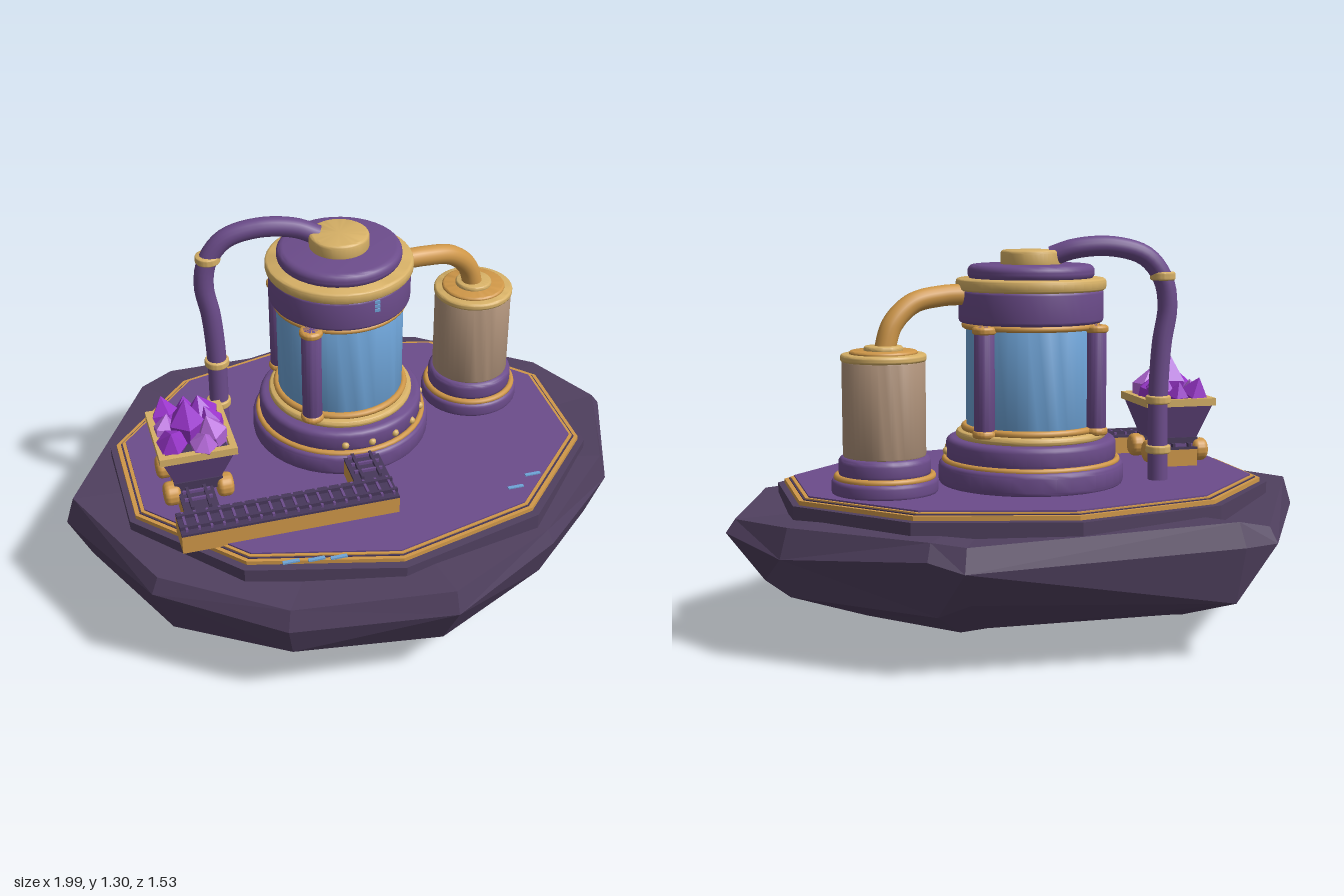
import * as THREE from 'three';
import { toCreasedNormals } from 'three/addons/utils/BufferGeometryUtils.js';

const mat = (name, color) => {
  const m = new THREE.MeshStandardMaterial({ color });
  m.name = name;
  return m;
};

export function createModel() {
  const purple = mat('purple metal', 0x6c4c8b);
  const rock = mat('dark rock', 0x50405f);
  rock.flatShading = true;
  const gold = mat('pale gold', 0xd6b066);
  const bronze = mat('orange bronze', 0xcf9748);
  const blue = mat('blue glass', 0x6ea4d8);
  const tan = mat('tan drum', 0xb0937b);
  const dark = mat('dark track', 0x47385a);
  const violet = mat('violet crystal', 0x9a35cc);
  const lilac = mat('lilac crystal', 0xb468d8);

  const root = new THREE.Group();
  root.name = 'floatingIslandRefinery';
  const group = (name, x = 0, y = 0, z = 0) => {
    const g = new THREE.Group();
    g.name = name;
    g.position.set(x, y, z);
    root.add(g);
    return g;
  };
  const add = (parent, name, geo, material, x = 0, y = 0, z = 0) => {
    const m = new THREE.Mesh(geo, material);
    m.name = name;
    m.position.set(x, y, z);
    parent.add(m);
    return m;
  };
  const box = (parent, name, m, x0, x1, y0, y1, z0, z1) =>
    add(parent, name, new THREE.BoxGeometry(x1 - x0, y1 - y0, z1 - z0), m,
      (x0 + x1) / 2, (y0 + y1) / 2, (z0 + z1) / 2);
  // Round drum with softened top and bottom edges
  const drum = (parent, name, m, r, y0, y1, b = 0.008) => {
    const pts = [[0, y0], [r - b, y0]];
    for (let i = 1; i < 4; i++) {
      const a = (i * Math.PI) / 8;
      pts.push([r - b + b * Math.sin(a), y0 + b - b * Math.cos(a)]);
    }
    pts.push([r, y0 + b], [r, y1 - b]);
    for (let i = 1; i < 4; i++) {
      const a = (i * Math.PI) / 8;
      pts.push([r - b + b * Math.cos(a), y1 - b + b * Math.sin(a)]);
    }
    pts.push([r - b, y1], [0, y1]);
    const geo = new THREE.LatheGeometry(pts.map(p => new THREE.Vector2(...p)), 40);
    return add(parent, name, toCreasedNormals(geo, 0.6), m);
  };
  const ring = (parent, name, m, r, t, y) => {
    const geo = new THREE.TorusGeometry(r, t, 10, 48);
    return add(parent, name, geo.rotateX(Math.PI / 2), m, 0, y, 0);
  };
  const pipe = (parent, name, m, pts, r) => {
    const curve = new THREE.CatmullRomCurve3(pts.map(p => new THREE.Vector3(...p)));
    return add(parent, name, new THREE.TubeGeometry(curve, 48, r, 16), m);
  };

  // Faceted floating rock, lofted from one outline
  const outline = [[-0.99, -0.05], [-0.64, -0.7], [-0.52, -0.735], [0.37, -0.77], [0.47, -0.72],
    [0.86, -0.41], [1, -0.16], [0.86, 0.23], [0.54, 0.53], [0.13, 0.765], [-0.4, 0.68], [-0.78, 0.42]];
  const levels = [[0, 0.43, 0, 0], [0.97, 0.43, 0.015, 0], [1, 0.36, 0.02, 0], [0.92, 0.21, 0.025, 0],
    [0.66, 0.1, 0.012, 0], [0.12, 0.016, 0.014, -0.045], [0, 0.035, 0, -0.06]];
  const rings = levels.map(([s, y, jitter, dz], k) => outline.map(([x, z], i) => {
    const w = k > 2 ? 1 + 0.05 * Math.sin(i * 2.3 + k) : 1;
    return [x * s * w, y + jitter * Math.sin(i * 2.7 + k * 1.9), z * s * w + dz];
  }));
  const verts = [];
  for (let k = 0; k < rings.length - 1; k++) {
    for (let i = 0; i < 12; i++) {
      const j = (i + 1) % 12;
      const a = rings[k][i], b = rings[k][j], c = rings[k + 1][j], d = rings[k + 1][i];
      if (k === 0) verts.push(...a, ...c, ...d);
      else if (k === rings.length - 2) verts.push(...a, ...b, ...c);
      else if ((i + k) % 2) verts.push(...a, ...b, ...c, ...a, ...c, ...d);
      else verts.push(...a, ...b, ...d, ...b, ...c, ...d);
    }
  }
  const rockGeo = new THREE.BufferGeometry();
  rockGeo.setAttribute('position', new THREE.Float32BufferAttribute(verts, 3));
  rockGeo.computeVertexNormals();
  add(root, 'rock', rockGeo, rock);

  // Ten-sided deck with trim lines
  const deck = group('deck', 0, 0, -0.05);
  const slab = (name, m, rx, rz, y0, y1) => {
    const geo = new THREE.CylinderGeometry(1, 1, y1 - y0, 10).scale(rx, 1, rz);
    add(deck, name, toCreasedNormals(geo, 0.3), m, 0, (y0 + y1) / 2, 0);
  };
  slab('plinth', rock, 0.84, 0.675, 0.36, 0.472);
  slab('outerTrim', bronze, 0.818, 0.645, 0.472, 0.486);
  slab('trimGap', dark, 0.803, 0.632, 0.486, 0.489);
  slab('innerTrim', bronze, 0.797, 0.627, 0.489, 0.493);
  slab('floor', purple, 0.785, 0.617, 0.493, 0.498);
  const lights = group('blueDeckLights');
  for (const [x, z] of [[-0.35, 0.525], [-0.27, 0.535], [-0.2, 0.545], [0.46, 0.37], [0.54, 0.32]])
    box(lights, 'light', blue, x - 0.027, x + 0.027, 0.496, 0.502, z - 0.006, z + 0.006);

  // Main tank
  const tank = group('mainTank', 0, 0, -0.15);
  drum(tank, 'lowerBase', purple, 0.305, 0.49, 0.572, 0.02);
  ring(tank, 'baseTrim', bronze, 0.284, 0.01, 0.573);
  drum(tank, 'upperBase', purple, 0.28, 0.57, 0.648, 0.02);
  drum(tank, 'glassSeat', gold, 0.247, 0.645, 0.672, 0.012);
  ring(tank, 'lowerGlassRing', bronze, 0.218, 0.012, 0.68);
  drum(tank, 'glass', blue, 0.213, 0.66, 1.02);
  ring(tank, 'upperGlassRing', bronze, 0.217, 0.01, 1.013);
  drum(tank, 'collar', purple, 0.236, 1.022, 1.13, 0.012);
  drum(tank, 'flange', gold, 0.245, 1.126, 1.166, 0.012);
  drum(tank, 'lid', purple, 0.207, 1.16, 1.21, 0.022);
  drum(tank, 'cap', gold, 0.099, 1.2, 1.256, 0.012);
  for (let i = 0; i < 6; i++) {
    const a = ((-12 + 19 * i) * Math.PI) / 180;
    add(tank, 'rivet', new THREE.SphereGeometry(0.013, 12, 8), gold,
      0.279 * Math.sin(a), 0.602, 0.279 * Math.cos(a));
  }
  for (const deg of [129, 221, 325]) {
    const a = (deg * Math.PI) / 180;
    const post = new THREE.Group();
    post.name = 'sidePost';
    post.position.set(0.232 * Math.cos(a), 0, 0.232 * Math.sin(a));
    tank.add(post);
    drum(post, 'column', purple, 0.033, 0.67, 1.02);
    drum(post, 'foot', bronze, 0.039, 0.665, 0.69, 0.01);
    drum(post, 'head', bronze, 0.039, 0.995, 1.02, 0.01);
  }
  for (let i = 0; i < 3; i++)
    box(tank, 'gaugeMark', blue, 0.053, 0.071, 1.08 + i * 0.015, 1.09 + i * 0.015, 0.225, 0.232);

  // Side drum
  const side = group('sideDrum', 0.5, 0, -0.215);
  drum(side, 'lowerBase', purple, 0.17, 0.49, 0.545, 0.015);
  ring(side, 'baseTrim', bronze, 0.152, 0.011, 0.548);
  drum(side, 'upperBase', purple, 0.147, 0.545, 0.615, 0.02);
  drum(side, 'body', tan, 0.132, 0.61, 0.92);
  drum(side, 'rim', gold, 0.136, 0.912, 0.938, 0.01);
  drum(side, 'lid', bronze, 0.108, 0.93, 0.948, 0.008);
  drum(side, 'pipeSocket', gold, 0.062, 0.94, 0.962, 0.008);

  // Pipes
  const pipes = group('pipes');
  pipe(pipes, 'bronzePipe', bronze, [[0.2, 1.115, -0.155], [0.3, 1.112, -0.165], [0.4, 1.09, -0.185],
    [0.47, 1.025, -0.205], [0.5, 0.93, -0.215]], 0.034);
  pipe(pipes, 'purplePipe', purple, [[-0.06, 1.235, -0.185], [-0.13, 1.26, -0.21], [-0.25, 1.267, -0.232],
    [-0.36, 1.235, -0.246], [-0.42, 1.16, -0.25], [-0.436, 1.07, -0.25], [-0.418, 0.95, -0.25],
    [-0.408, 0.78, -0.25], [-0.41, 0.49, -0.25]], 0.033);
  for (const [x, y] of [[-0.418, 1.17], [-0.408, 0.765], [-0.41, 0.6]]) {
    const clamp = drum(pipes, 'pipeClamp', gold, 0.042, -0.014, 0.014, 0.008);
    clamp.position.set(x, y, -0.25);
  }

  // Raised track: bed, top plate, cross ties and rails
  const track = group('track');
  const run = (x0, x1, z0, z1, alongX) => {
    box(track, 'bed', bronze, x0, x1, 0.49, 0.556, z0, z1);
    box(track, 'topPlate', dark, x0, x1, 0.556, 0.564, z0, z1);
    const from = alongX ? x0 : z0, to = alongX ? x1 : z1;
    for (let p = from + 0.02; p < to - 0.01; p += 0.04) {
      if (alongX) box(track, 'tie', purple, p - 0.004, p + 0.004, 0.564, 0.574, z0 + 0.012, z1 - 0.012);
      else box(track, 'tie', purple, x0 + 0.012, x1 - 0.012, 0.564, 0.574, p - 0.004, p + 0.004);
    }
    for (const t of [0.25, 0.75]) {
      const x = x0 + (x1 - x0) * t, z = z0 + (z1 - z0) * t;
      if (alongX) box(track, 'rail', dark, x0, x1, 0.564, 0.577, z - 0.005, z + 0.005);
      else box(track, 'rail', dark, x - 0.005, x + 0.005, 0.564, 0.577, z0, z1);
    }
  };
  run(-0.665, 0.05, 0.27, 0.385, true);
  run(-0.635, -0.52, -0.04, 0.27, false);
  run(-0.07, 0.05, 0.13, 0.27, false);

  // Cart
  const cart = group('cart', -0.565, 0, 0.073);
  const hopper = new THREE.CylinderGeometry(Math.SQRT1_2, 0.64 * Math.SQRT1_2, 0.125, 4).rotateY(Math.PI / 4);
  add(cart, 'hopper', toCreasedNormals(hopper.scale(0.235, 1, 0.26), 0.3), purple, 0, 0.652, 0);
  box(cart, 'hopperInside', dark, -0.1, 0.1, 0.71, 0.718, -0.115, 0.115);
  for (const s of [-1, 1]) {
    const x = s * 0.115, z = s * 0.127;
    box(cart, 'rimSide', gold, x - 0.011, x + 0.011, 0.71, 0.736, -0.138, 0.138);
    box(cart, 'rimEnd', gold, -0.104, 0.104, 0.71, 0.736, z - 0.011, z + 0.011);
    box(cart, 'axle', dark, -0.08, 0.08, 0.555, 0.595, s * 0.075 - 0.015, s * 0.075 + 0.015);
    for (const t of [-1, 1]) {
      const wheel = drum(cart, 'wheel', bronze, 0.04, -0.027, 0.027, 0.018);
      wheel.rotation.z = Math.PI / 2;
      wheel.position.set(t * 0.088, 0.55, s * 0.075);
    }
  }

  // Crystal load: x, z, height, radius
  const crystals = [[-0.01, 0.01, 0.17, 0.06], [-0.07, 0.05, 0.12, 0.05], [0.075, 0.055, 0.13, 0.05],
    [0.06, -0.05, 0.13, 0.055], [-0.06, -0.06, 0.12, 0.05], [0.02, 0.085, 0.1, 0.045],
    [0, -0.08, 0.1, 0.04], [0.09, 0.0, 0.12, 0.04], [-0.09, 0.0, 0.1, 0.04]];
  const load = group('crystalLoad', -0.565, 0.7, 0.073);
  crystals.forEach(([x, z, h, r], i) => {
    const geo = new THREE.LatheGeometry([[0, -0.02], [r * 0.7, 0], [r, h * 0.5], [0, h]]
      .map(p => new THREE.Vector2(...p)), 5 + (i % 2));
    const c = add(load, 'crystal', toCreasedNormals(geo, 0.1), i % 3 === 2 ? lilac : violet, x, 0, z);
    c.rotation.set(z * 4, i * 1.3, -x * 4);
  });
  return root;
}
